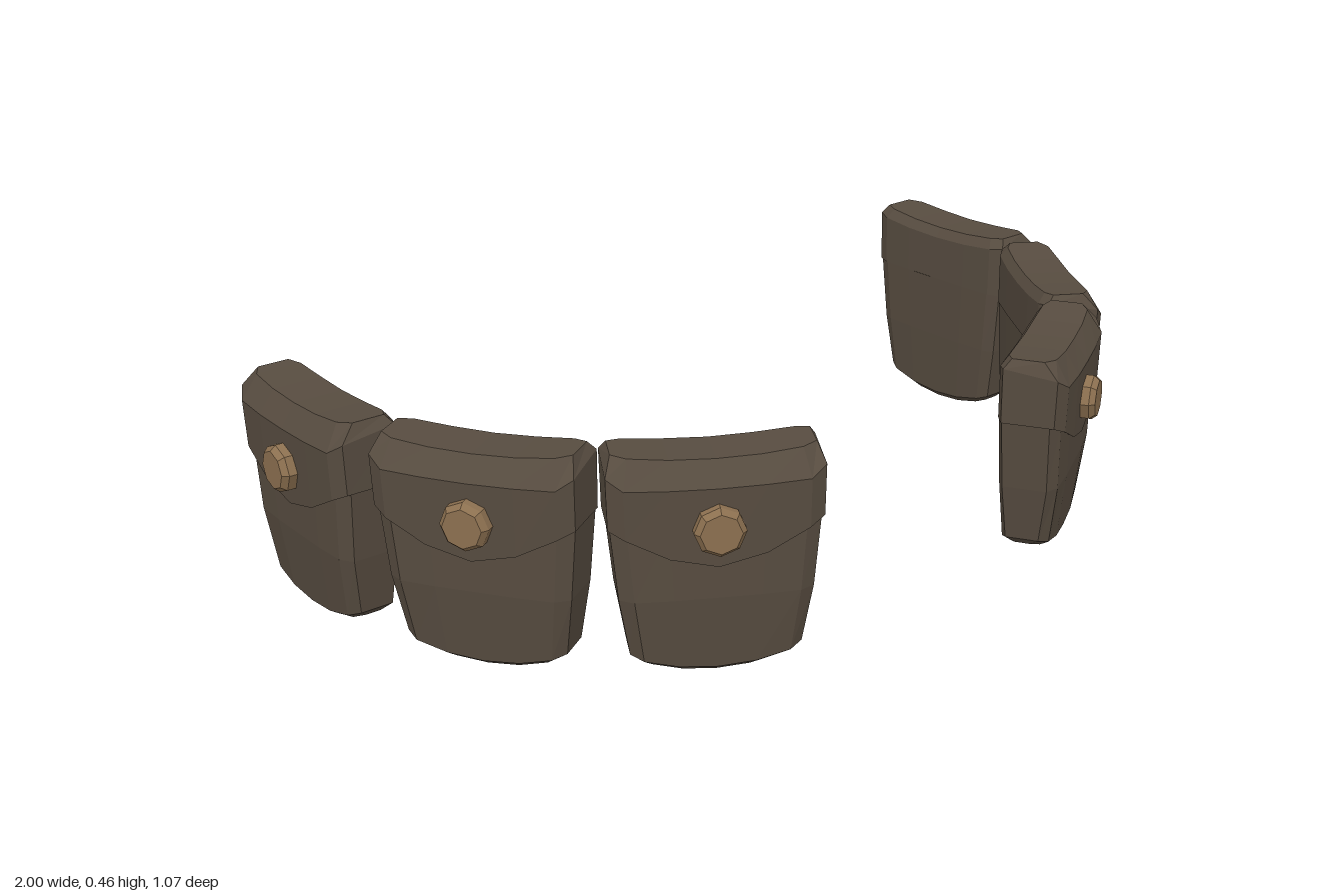
import * as THREE from 'three';

// Column positions across a pouch, and how far each is pulled in at the corners
const COLUMNS = [-1, -0.85, -0.45, 0, 0.45, 0.85, 1];
const INSET = [0.022, 0.004, 0, 0];

// Joins closed rings from bottom to top. Each ring has a half width, front and back depth,
// and front and back heights listed from the corner to the middle.
function loft(levels) {
  const n = COLUMNS.length, size = n * 2;
  const pos = [], index = [];
  for (const { hw, zf, zb, yf, yb = yf } of levels) {
    for (let i = 0; i < size; i++) {
      const front = i < n;
      const c = front ? i : size - 1 - i;
      const k = 3 - Math.abs(c - 3);       // 0 at the corner, 3 in the middle
      pos.push(COLUMNS[c] * hw, (front ? yf : yb)[k], front ? zf - INSET[k] : zb + INSET[k] * 0.7);
    }
  }
  for (let l = 0; l < levels.length - 1; l++) {
    for (let i = 0; i < size; i++) {
      const a = l * size + i, b = l * size + (i + 1) % size;
      index.push(a, b, b + size, a, b + size, a + size);
    }
  }
  const top = (levels.length - 1) * size;
  for (let i = 0; i < n - 1; i++) {
    const p = i, q = i + 1, r = size - 2 - i, s = size - 1 - i;
    index.push(top + p, top + q, top + r, top + p, top + r, top + s);
    index.push(p, r, q, p, s, r);
  }
  const geo = new THREE.BufferGeometry();
  geo.setAttribute('position', new THREE.Float32BufferAttribute(pos, 3));
  geo.setIndex(index);
  const flat = geo.toNonIndexed();
  flat.computeVertexNormals();
  return flat;
}

export function createModel() {
  const leather = new THREE.MeshStandardMaterial({ color: 0x574c40, flatShading: true });
  leather.name = 'dark leather';
  const brass = new THREE.MeshStandardMaterial({ color: 0x8c7050, flatShading: true });
  brass.name = 'dull brass';

  // Tapered bag with a rounded bottom
  const bodyGeo = loft([
    { hw: 0.145, zf: 0.025, zb: -0.045, yf: [0.026, 0.018, 0.005, 0] },
    { hw: 0.166, zf: 0.046, zb: -0.062, yf: [0.045, 0.036, 0.021, 0.015] },
    { hw: 0.186, zf: 0.062, zb: -0.07, yf: [0.17, 0.17, 0.17, 0.17] },
    { hw: 0.2, zf: 0.064, zb: -0.074, yf: [0.32, 0.32, 0.32, 0.32] },
  ]);
  // Flap folded over the top, with a pointed lower edge
  const flapGeo = loft([
    { hw: 0.204, zf: 0.074, zb: -0.075, yf: [0.32, 0.305, 0.262, 0.24], yb: [0.32, 0.32, 0.32, 0.32] },
    { hw: 0.206, zf: 0.077, zb: -0.075, yf: [0.425, 0.405, 0.402, 0.4], yb: [0.44, 0.435, 0.428, 0.425] },
    { hw: 0.193, zf: 0.045, zb: -0.06, yf: [0.46, 0.457, 0.45, 0.447] },
  ]);
  // Eight-sided stud with a bevelled rim
  const rimGeo = new THREE.CylinderGeometry(0.05, 0.05, 0.03, 8).rotateX(Math.PI / 2);
  const capGeo = new THREE.CylinderGeometry(0.04, 0.05, 0.012, 8).rotateX(Math.PI / 2);

  function makePouch() {
    const pouch = new THREE.Group();
    const add = (name, geo, mat, y = 0, z = 0) => {
      const mesh = new THREE.Mesh(geo, mat);
      mesh.name = name;
      mesh.position.set(0, y, z);
      pouch.add(mesh);
    };
    add('pouchBody', bodyGeo, leather);
    add('pouchFlap', flapGeo, leather);
    add('studRim', rimGeo, brass, 0.32, 0.078);
    add('studCap', capGeo, brass, 0.32, 0.099);
    return pouch;
  }

  // Three pouches on each side, facing outward around an open arc
  const places = [
    ['frontPouch', 0.465, 0.375, 30.3],
    ['middlePouch', 0.778, 0.08, 57.7],
    ['rearPouch', 0.895, -0.333, 91],
  ];
  const model = new THREE.Group();
  model.name = 'beltPouches';
  for (const side of [1, -1]) {
    for (const [name, x, z, angle] of places) {
      const pouch = makePouch();
      pouch.name = (side > 0 ? 'left ' : 'right ') + name;
      pouch.position.set(side * x, 0, z);
      pouch.rotation.y = side * THREE.MathUtils.degToRad(angle);
      model.add(pouch);
    }
  }
  return model;
}
